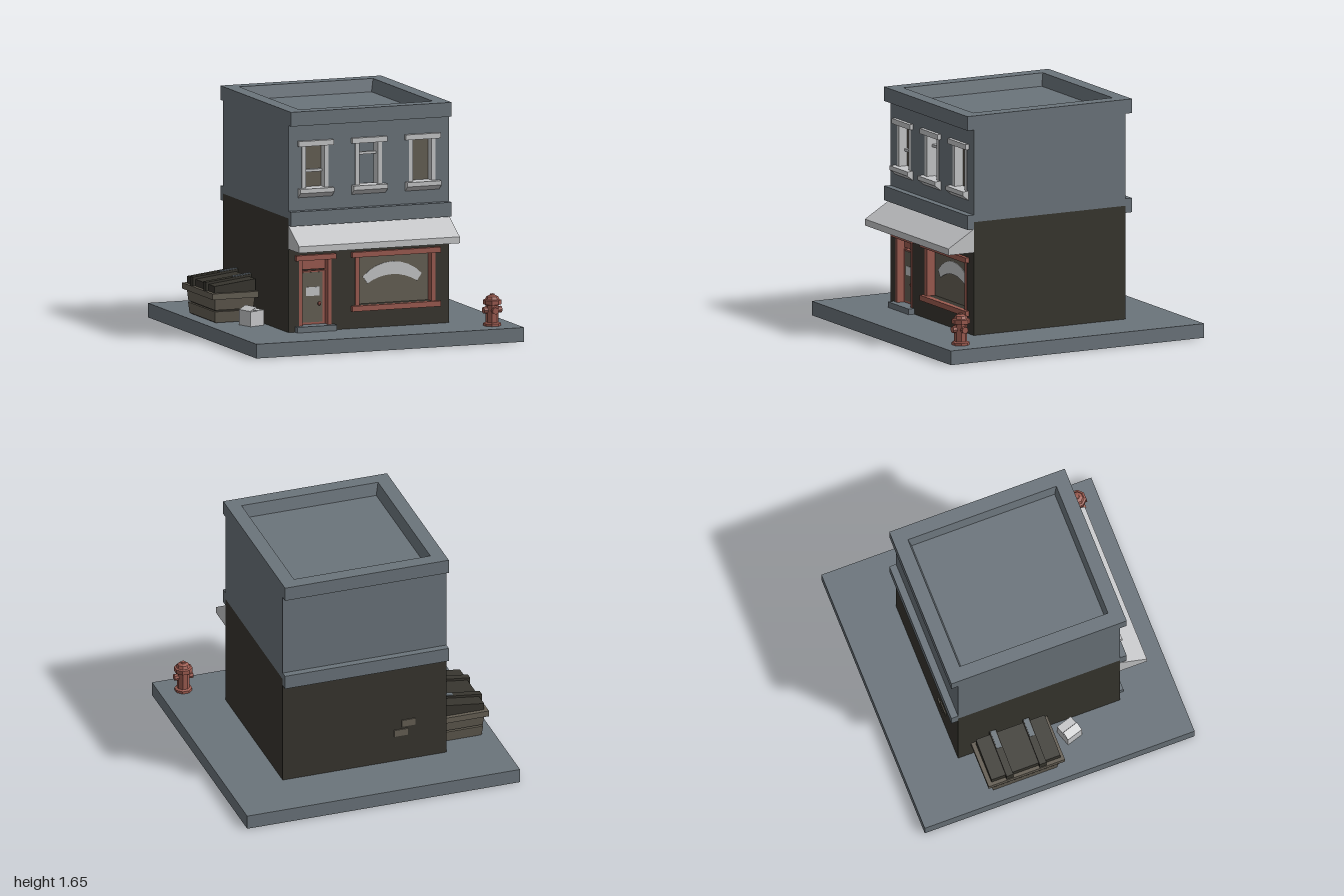
import * as THREE from 'three';

const mat = (name, color) => {
  const m = new THREE.MeshStandardMaterial({ color, flatShading: true, side: THREE.DoubleSide });
  m.name = name;
  return m;
};

export function createModel() {
  const grey = mat('blueGrey', 0x6b747b), dark = mat('darkBrown', 0x37352e), white = mat('offWhite', 0xc6c7c9);
  const red = mat('brickRed', 0x9c5b50), glass = mat('brownGlass', 0x655f54);
  const root = new THREE.Group();
  root.name = 'cornerShop';

  const add = (name, geo, m, parent = root) => {
    const mesh = new THREE.Mesh(geo, m);
    mesh.name = name;
    parent.add(mesh);
    return mesh;
  };
  // Box given by its limits on each axis
  const box = (name, m, x0, x1, y0, y1, z0, z1, parent = root) => {
    const mesh = add(name, new THREE.BoxGeometry(x1 - x0, y1 - y0, z1 - z0), m, parent);
    mesh.position.set((x0 + x1) / 2, (y0 + y1) / 2, (z0 + z1) / 2);
    return mesh;
  };
  const poly = pts => new THREE.Shape(pts.map(p => new THREE.Vector2(...p)));
  const rect = (x0, x1, y0, y1) => poly([[x0, y0], [x1, y0], [x1, y1], [x0, y1]]);
  const extrude = (shape, depth) => new THREE.ExtrudeGeometry(shape, { depth, bevelEnabled: false });
  // Profile in (z, y), extruded along x
  const alongX = (name, m, pts, x0, x1, parent = root) => {
    const mesh = add(name, extrude(poly(pts), x1 - x0), m, parent);
    mesh.rotation.y = -Math.PI / 2;
    mesh.position.x = x1;
    return mesh;
  };
  const quads = list => {
    const pos = list.flatMap(([a, b, c, d]) => [...a, ...b, ...c, ...a, ...c, ...d]);
    const g = new THREE.BufferGeometry();
    g.setAttribute('position', new THREE.Float32BufferAttribute(pos, 3));
    g.computeVertexNormals();
    return g;
  };
  const frontWall = (name, m, y0, y1, holes) => {
    const s = rect(-0.6, 0.6, y0, y1);
    holes.forEach(h => s.holes.push(rect(...h)));
    add(name, extrude(s, 0.1), m).position.z = 0.5;
  };

  // Ground slab and building shell
  box('groundSlab', grey, -1, 1, 0, 0.1, -1, 1);
  const windowXs = [-0.4, 0, 0.4];
  frontWall('lowerFrontWall', dark, 0.1, 0.9, [[-0.52, -0.28, 0.12, 0.6], [-0.1, 0.5, 0.26, 0.6]]);
  frontWall('upperFrontWall', grey, 0.9, 1.55, windowXs.map(x => [x - 0.1, x + 0.1, 1.1, 1.4]));
  box('lowerStorey', dark, -0.6, 0.6, 0.1, 0.9, -0.6, 0.5);
  for (const s of [-1, 1]) {
    box('upperSideWall', grey, Math.min(s * 0.6, s * 0.5), Math.max(s * 0.6, s * 0.5), 0.9, 1.55, -0.6, 0.5);
    box('lowerCornice', grey, -0.6, 0.6, 0.85, 0.95, s > 0 ? 0.6 : -0.65, s > 0 ? 0.65 : -0.6);
  }
  box('upperBackWall', grey, -0.5, 0.5, 0.9, 1.55, -0.6, -0.5);

  // Roof with parapet and sloping inner edge
  const ring = rect(-0.6, 0.6, -0.65, 0.65);
  ring.holes.push(rect(-0.5, 0.5, -0.55, 0.55));
  const parapet = add('parapet', extrude(ring, 0.1), grey);
  parapet.rotation.x = -Math.PI / 2;
  parapet.position.y = 1.55;
  box('roof', grey, -0.5, 0.5, 1.53, 1.56, -0.55, 0.55);
  const loop = (x, y, z) => [[-x, y, -z], [x, y, -z], [x, y, z], [-x, y, z]];
  const top = loop(0.5, 1.65, 0.55), low = loop(0.48, 1.56, 0.53);
  add('parapetInnerSlope', quads(top.map((p, i) => [p, low[i], low[(i + 1) % 4], top[(i + 1) % 4]])), grey);

  // Framed openings: lintel and recessed jambs
  const frame = (name, m, x0, x1, y0, y1, jamb) => {
    const g = new THREE.Group();
    g.name = name;
    root.add(g);
    box('lintel', m, x0 - 0.03, x1 + 0.03, y1, y1 + 0.037, 0.55, 0.627, g);
    box('leftJamb', m, x1 - jamb, x1, y0, y1, 0.52, 0.603, g);
    box('rightJamb', m, x0, x0 + jamb, y0, y1, 0.52, 0.603, g);
    return g;
  };

  // Upper windows; the middle one stands open
  windowXs.forEach((x, i) => {
    const g = frame('upperWindow', white, x - 0.1, x + 0.1, 1.1, 1.4, 0.03);
    alongX('sill', white, [[0.54, 1.105], [0.645, 1.105], [0.645, 1.075], [0.6, 1.04], [0.54, 1.04]], x - 0.127, x + 0.127, g);
    if (i !== 1) box('pane', glass, x - 0.07, x + 0.07, 1.1, 1.4, 0.53, 0.538, g);
    if (i < 2) {
      const y = i ? 1.31 : 1.21;
      box('sashBar', white, x - 0.07, x + 0.07, y, y + 0.018, 0.53, 0.56, g);
    }
  });

  // Shop window with a curved banner
  const shop = frame('shopWindow', red, -0.1, 0.5, 0.26, 0.6, 0.03);
  box('sill', red, -0.13, 0.53, 0.222, 0.26, 0.54, 0.627, shop);
  box('pane', glass, -0.07, 0.47, 0.26, 0.6, 0.53, 0.538, shop);
  const arc = (r, cy, half) => Array.from({ length: 9 }, (_, i) => {
    const a = Math.asin(half / r) * (i / 4 - 1);
    return [0.2 + r * Math.sin(a), cy + r * Math.cos(a)];
  });
  const banner = poly([...arc(0.302, 0.243, 0.22), ...arc(0.338, 0.117, 0.185).reverse()]);
  add('windowBanner', extrude(banner, 0.004), white, shop).position.z = 0.539;

  // Door with transom, glass, notice, knob and step
  const door = frame('door', red, -0.52, -0.28, 0.1, 0.6, 0.025);
  box('doorLeaf', red, -0.495, -0.305, 0.14, 0.515, 0.52, 0.55, door);
  box('transomPanel', red, -0.495, -0.305, 0.525, 0.6, 0.52, 0.545, door);
  box('doorPane', glass, -0.475, -0.325, 0.155, 0.505, 0.55, 0.554, door);
  box('notice', white, -0.45, -0.35, 0.34, 0.402, 0.554, 0.558, door);
  add('knob', new THREE.SphereGeometry(0.014, 8, 6), red, door).position.set(-0.355, 0.285, 0.567);
  box('doorStep', grey, -0.55, -0.255, 0.1, 0.14, 0.5, 0.645, door);

  // Awning: sloped cover, valance and ends
  const prof = x => [[x, 0.85, 0.6], [x, 0.73, 0.8], [x, 0.685, 0.8], [x, 0.685, 0.6]];
  const l = prof(-0.6), r = prof(0.6);
  add('awning', quads([[l[0], l[1], r[1], r[0]], [l[1], l[2], r[2], r[1]], [l[0], l[3], l[2], l[1]], [r[0], r[1], r[2], r[3]]]), white);

  // Exposed bricks on the back wall
  box('exposedBrick', glass, -0.37, -0.27, 0.365, 0.415, -0.608, -0.6);
  box('exposedBrick', glass, -0.315, -0.215, 0.295, 0.345, -0.608, -0.6);

  // Dumpster: tapered bands, rim, sloping lid and straps
  const bin = new THREE.Group();
  bin.name = 'dumpster';
  root.add(bin);
  const band = (y0, y1, hx0, hx1, hz0, hz1) => {
    const g = new THREE.BoxGeometry(2, y1 - y0, 2), p = g.attributes.position;
    for (let i = 0; i < p.count; i++) {
      const up = p.getY(i) > 0;
      p.setX(i, p.getX(i) * (up ? hx1 : hx0));
      p.setZ(i, p.getZ(i) * (up ? hz1 : hz0));
    }
    add('binBand', g, glass, bin).position.set(-0.77, (y0 + y1) / 2, -0.222);
  };
  band(0.105, 0.18, 0.138, 0.145, 0.235, 0.248);
  band(0.19, 0.27, 0.143, 0.15, 0.245, 0.258);
  box('binCore', dark, -0.9, -0.64, 0.1, 0.27, -0.45, 0.005, bin);
  box('binRim', glass, -0.945, -0.602, 0.27, 0.312, -0.505, 0.06, bin);
  const wedge = (name, x0, x1, yl, yr, z0, z1) => {
    add(name, extrude(poly([[x0, 0.27], [x1, 0.27], [x1, yr], [x0, yl]]), z1 - z0), dark, bin).position.z = z0;
  };
  wedge('binLid', -0.92, -0.617, 0.36, 0.397, -0.475, 0.035);
  for (const z of [-0.345, -0.1]) {
    wedge('lidStrap', -0.94, -0.602, 0.375, 0.414, z - 0.025, z + 0.025);
    const plate = add('strapPlate', new THREE.BoxGeometry(0.13, 0.006, 0.036), grey, bin);
    plate.position.set(-0.668, 0.408, z);
    plate.rotation.z = 0.115;
  }

  // Carton with one flap lifted
  const carton = new THREE.Group();
  carton.name = 'carton';
  carton.position.set(-0.705, 0.1, 0.185);
  carton.rotation.y = 0.31;
  root.add(carton);
  box('cartonBody', white, -0.061, 0.061, 0, 0.104, -0.061, 0.061, carton);
  box('flatFlap', white, 0.002, 0.061, 0.104, 0.108, -0.061, 0.061, carton);
  const flap = new THREE.Group();
  flap.name = 'liftedFlap';
  flap.position.set(-0.061, 0.104, 0);
  flap.rotation.z = 0.45;
  carton.add(flap);
  box('flapSheet', white, 0, 0.062, 0, 0.004, -0.061, 0.061, flap);

  // Fire hydrant
  const hydrant = new THREE.Group();
  hydrant.name = 'hydrant';
  hydrant.position.set(0.83, 0.1, 0.83);
  root.add(hydrant);
  const rings = [[0, 0], [0.062, 0], [0.062, 0.018], [0.045, 0.025], [0.045, 0.145], [0.064, 0.15], [0.064, 0.18],
    [0.05, 0.185], [0.04, 0.205], [0.018, 0.215], [0.015, 0.223], [0, 0.223]];
  add('hydrantBody', new THREE.LatheGeometry(rings.map(p => new THREE.Vector2(...p)), 8, Math.PI / 8), red, hydrant);
  for (let i = 0; i < 3; i++) {
    const a = (i - 1) * Math.PI / 2;
    const cap = add('hydrantOutlet', new THREE.CylinderGeometry(0.024, 0.024, 0.03, 8), red, hydrant);
    cap.rotation.set(Math.PI / 2, 0, -a);
    cap.position.set(Math.sin(a) * 0.052, 0.11, Math.cos(a) * 0.052);
  }
  return root;
}
